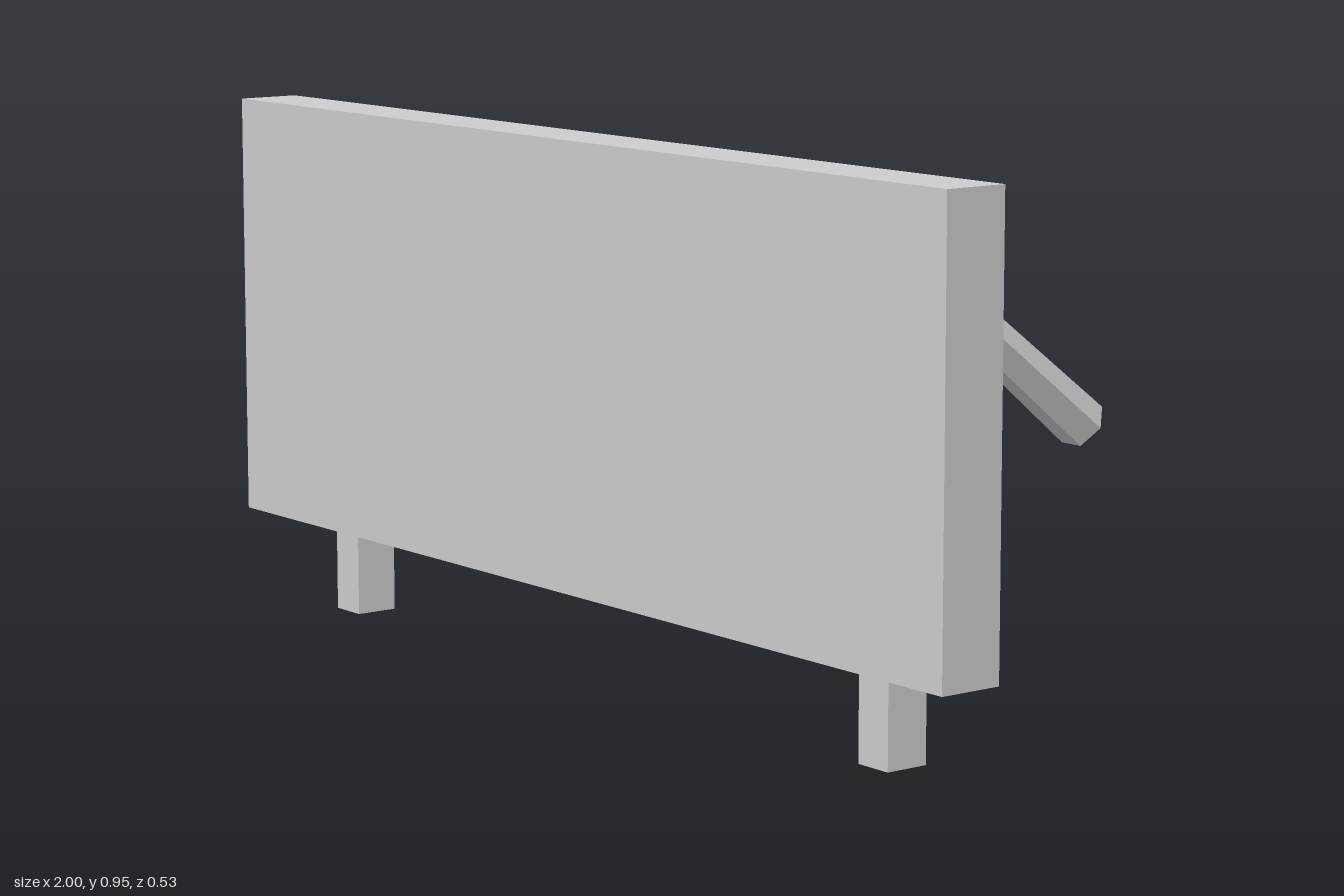
import * as THREE from 'three';

export function createModel() {
  const model = new THREE.Group();
  model.name = 'panelOnPosts';
  const grey = new THREE.MeshStandardMaterial({ color: 0xcccccc });
  grey.name = 'grey';

  const add = (name, geometry, x, y, z) => {
    const mesh = new THREE.Mesh(geometry, grey);
    mesh.name = name;
    mesh.position.set(x, y, z);
    model.add(mesh);
    return mesh;
  };

  // Wide upright board
  add('board', new THREE.BoxGeometry(2, 0.78, 0.117), 0, 0.56, 0.2085);

  // Square post, partly set into the board's back
  const postGeometry = new THREE.BoxGeometry(0.072, 0.57, 0.08);

  // Six-sided strut, thinner where it meets the board, flat side up
  const top = new THREE.Vector2(0.15, 0.816); // z, y
  const end = new THREE.Vector2(-0.243, 0.509);
  const strutGeometry = new THREE.CylinderGeometry(0.033, 0.044, top.distanceTo(end), 6)
    .rotateY(Math.PI / 6)
    .toNonIndexed();
  strutGeometry.computeVertexNormals();

  for (const [side, x] of [['left', 0.76], ['right', -0.76]]) {
    add(side + 'Post', postGeometry, x, 0.285, 0.16);
    const strut = add(side + 'Strut', strutGeometry, x, (top.y + end.y) / 2, (top.x + end.x) / 2);
    strut.rotation.x = Math.atan2(top.x - end.x, top.y - end.y);
  }
  return model;
}
